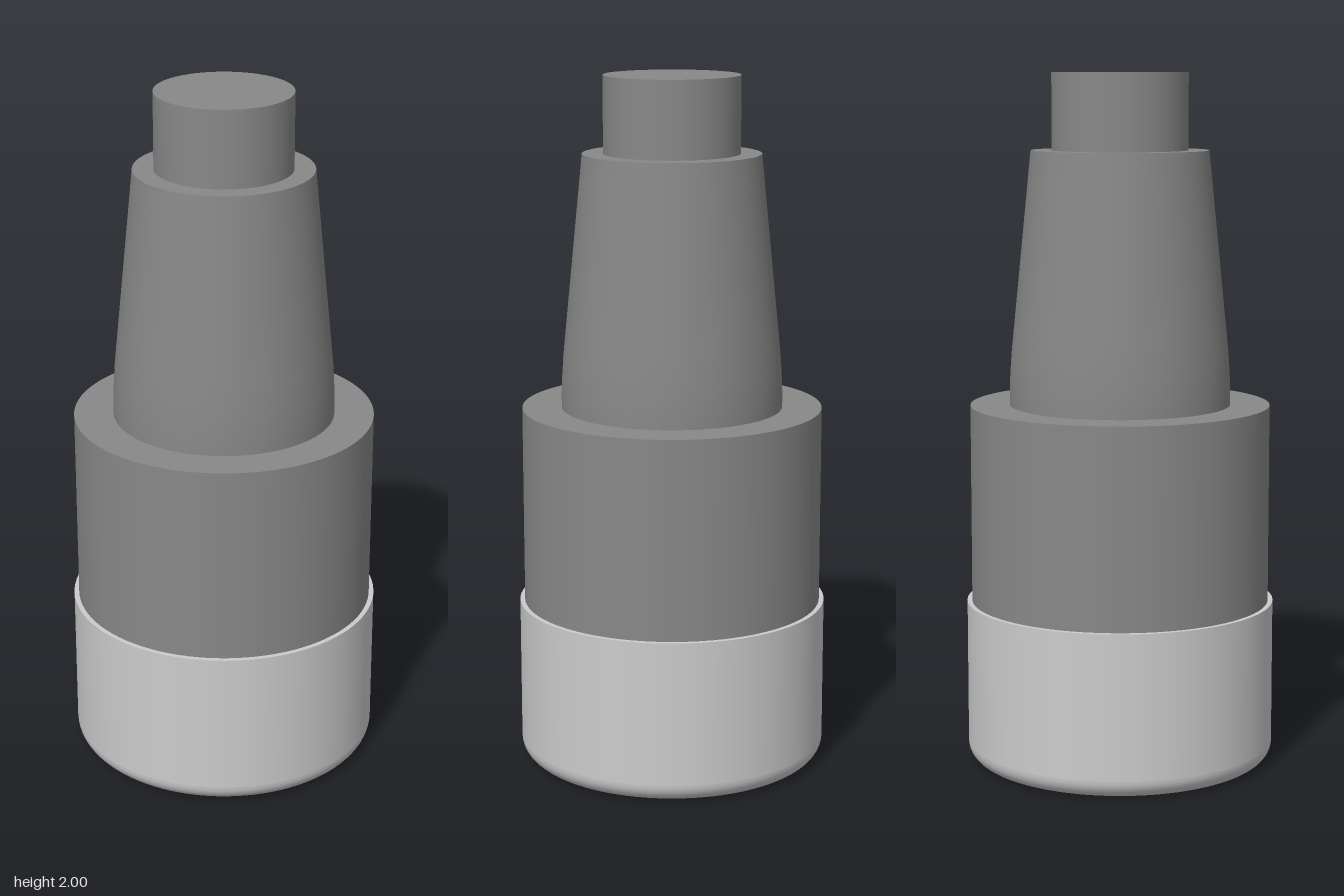
import * as THREE from 'three';
import { mergeGeometries } from 'three/addons/utils/BufferGeometryUtils.js';

const SEGMENTS = 96;

// Revolves several smooth profile runs; the edges between runs stay sharp.
function turned(name, color, runs) {
  const parts = runs.map((run) =>
    new THREE.LatheGeometry(run.map(([r, y]) => new THREE.Vector2(r, y)), SEGMENTS));
  const mesh = new THREE.Mesh(mergeGeometries(parts), new THREE.MeshStandardMaterial({ color }));
  mesh.name = name;
  return mesh;
}

export function createModel() {
  const group = new THREE.Group();
  group.name = 'steppedPlug';
  const light = 0xcccccc, dark = 0x888888;

  // Base collar with a rounded lower edge
  const R = 0.447, f = 0.055;
  const fillet = [];
  for (let i = 0; i <= 10; i++) {
    const a = (i / 10) * Math.PI / 2;
    fillet.push([R - f + f * Math.sin(a), f - f * Math.cos(a)]);
  }
  group.add(turned('baseCollar', light, [
    [[0, 0], [R - f, 0]],
    fillet,
    [[R, f], [R, 0.475]],
    [[R, 0.475], [0.433, 0.475]],
  ]));

  // Cylindrical body above the collar
  group.add(turned('body', dark, [
    [[0.433, 0.475], [0.433, 1.05]],
    [[0.433, 1.05], [0.319, 1.05]],
  ]));

  // Neck: nearly straight at the foot, easing into a taper
  group.add(turned('taperedNeck', dark, [
    [[0.319, 1.05], [0.319, 1.09], [0.317, 1.14], [0.313, 1.2], [0.308, 1.25], [0.282, 1.51], [0.255, 1.78]],
    [[0.255, 1.78], [0.195, 1.78]],
  ]));

  // Stub on top
  group.add(turned('topStub', dark, [
    [[0.195, 1.78], [0.195, 2]],
    [[0.195, 2], [0, 2]],
  ]));

  return group;
}
